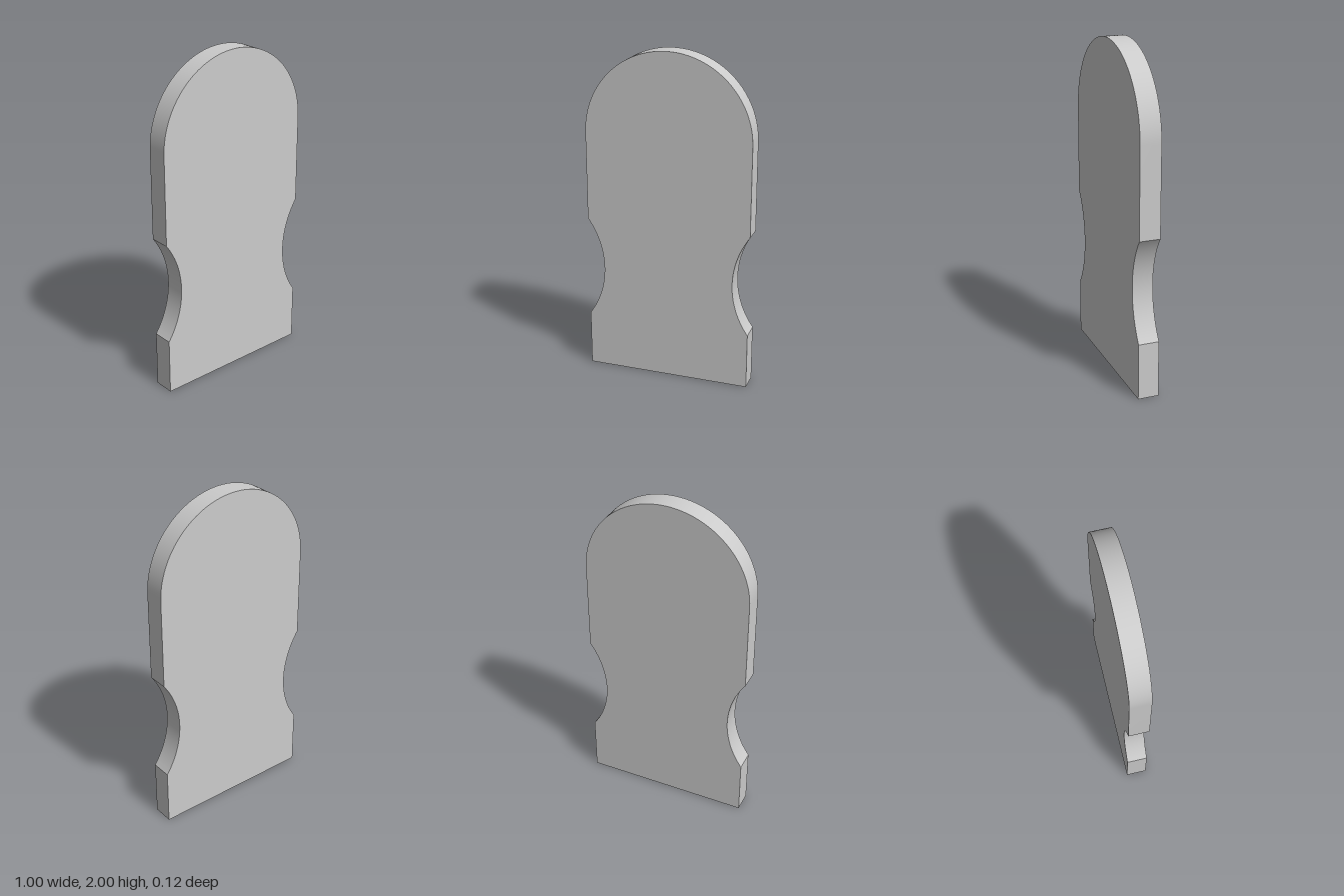
import * as THREE from 'three';
import { toCreasedNormals } from 'three/addons/utils/BufferGeometryUtils.js';

export function createModel() {
  const half = 0.5, depth = 0.125;
  const notchY = 0.653, notchHalf = 0.31, notchDepth = 0.1;
  // Radius, centre and half angle of the shallow side notches
  const r = (notchHalf ** 2 + notchDepth ** 2) / (2 * notchDepth);
  const cx = half - notchDepth + r;
  const a = Math.asin(notchHalf / r);

  // Outline: straight foot, notched sides, semicircular top
  const outline = new THREE.Shape();
  outline.moveTo(-half, 0);
  outline.lineTo(half, 0);
  outline.lineTo(half, notchY - notchHalf);
  outline.absarc(cx, notchY, r, Math.PI + a, Math.PI - a, true);
  outline.lineTo(half, 2 - half);
  outline.absarc(0, 2 - half, half, 0, Math.PI, false);
  outline.lineTo(-half, notchY + notchHalf);
  outline.absarc(-cx, notchY, r, a, -a, true);
  outline.closePath();

  const slab = new THREE.ExtrudeGeometry(outline, { depth, bevelEnabled: false, curveSegments: 32 });
  slab.translate(0, 0, -depth / 2);

  const panel = new THREE.Mesh(
    toCreasedNormals(slab, Math.PI / 7),
    new THREE.MeshStandardMaterial({ color: 0xcccccc })
  );
  panel.name = 'notchedArchPanel';

  const model = new THREE.Group();
  model.name = 'archedPanel';
  model.add(panel);
  return model;
}
